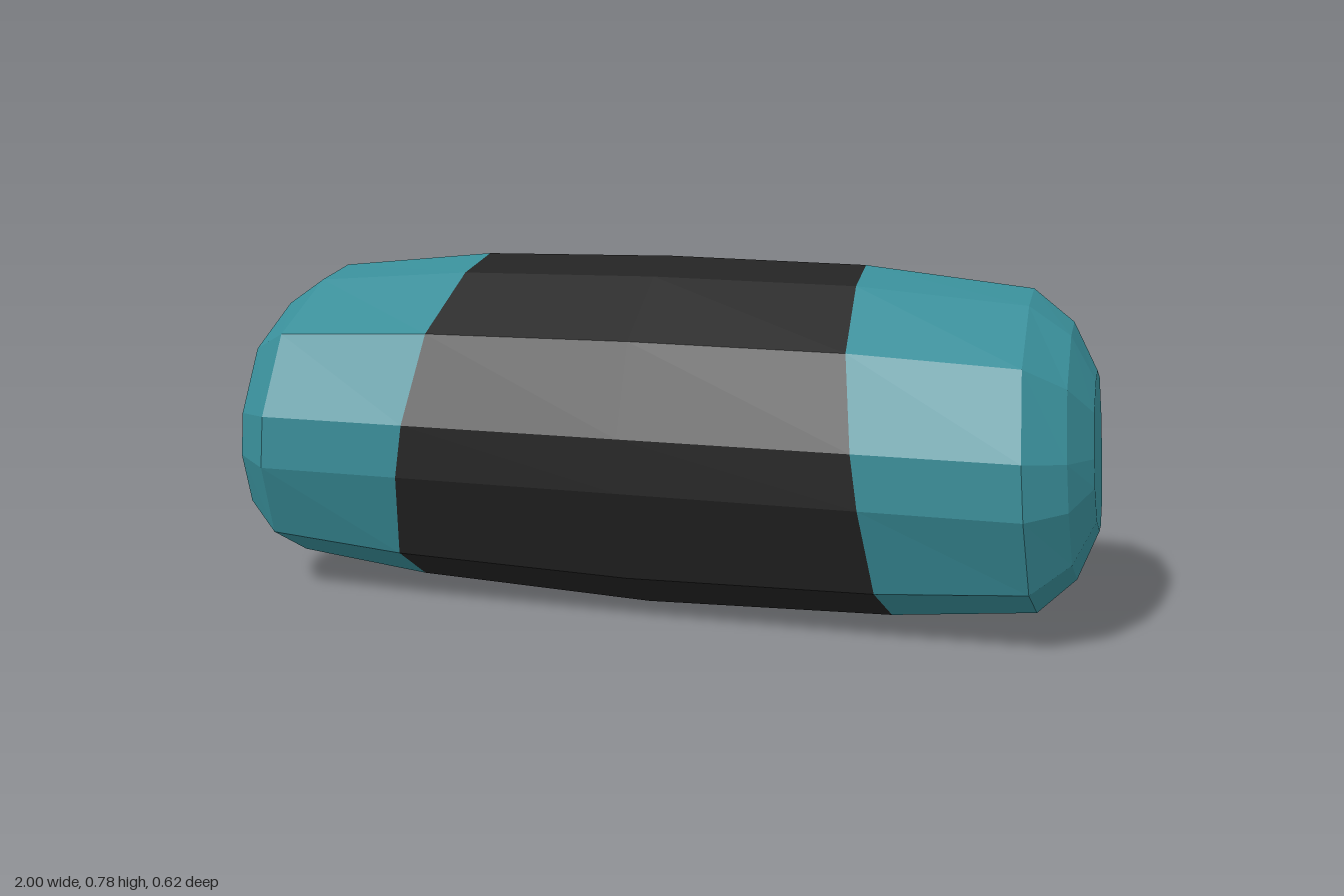
import * as THREE from 'three';

// Cross-sections as [z, y], running from the top over the back to the front
const MIDDLE = [[0.04, 0.75], [-0.103, 0.783], [-0.265, 0.71], [-0.312, 0.495], [-0.29, 0.335], [-0.207, 0.102],
  [-0.05, 0], [0.075, 0], [0.244, 0.102], [0.313, 0.31], [0.313, 0.43], [0.233, 0.63]];
const SHOULDER = [[0.038, 0.715], [-0.09, 0.738], [-0.228, 0.685], [-0.273, 0.505], [-0.25, 0.35], [-0.165, 0.14],
  [-0.015, 0.056], [0.085, 0.056], [0.244, 0.14], [0.313, 0.31], [0.313, 0.43], [0.233, 0.61]];
const ROUNDING = [[0.037, 0.655], [-0.068, 0.671], [-0.178, 0.63], [-0.213, 0.49], [-0.197, 0.367], [-0.127, 0.2],
  [-0.012, 0.134], [0.07, 0.134], [0.2, 0.2], [0.252, 0.323], [0.252, 0.423], [0.19, 0.566]];
const END = [[0.03, 0.56], [-0.035, 0.572], [-0.103, 0.546], [-0.125, 0.46], [-0.115, 0.387], [-0.07, 0.28],
  [0, 0.239], [0.05, 0.239], [0.128, 0.28], [0.161, 0.358], [0.155, 0.418], [0.12, 0.508]];

// The band's edge lies between the middle and the shoulder
const BAND_EDGE = MIDDLE.map(([z, y], i) => {
  const t = 0.36 - 0.26 * y;
  return [z + (SHOULDER[i][0] - z) * t, y + (SHOULDER[i][1] - y) * t];
});

// Places a section in a plane that leans inwards towards the top
const ring = (section, x, lean, side = 1) =>
  section.map(([z, y]) => new THREE.Vector3(side * (x - lean * y), y, z));

// Joins rings ordered from -x to +x; capSide closes the outer end
function loft(rings, capSide = 0) {
  const points = [];
  const n = rings[0].length;
  for (let r = 0; r < rings.length - 1; r++) {
    for (let i = 0; i < n; i++) {
      const j = (i + 1) % n;
      const [a, b] = [rings[r], rings[r + 1]];
      points.push(a[i], b[i], a[j], b[i], b[j], a[j]);
    }
  }
  if (capSide) {
    const end = capSide > 0 ? rings[rings.length - 1] : rings[0];
    const centre = new THREE.Vector3();
    end.forEach((p) => centre.addScaledVector(p, 1 / n));
    for (let i = 0; i < n; i++) {
      const j = (i + 1) % n;
      if (capSide > 0) points.push(centre, end[j], end[i]);
      else points.push(centre, end[i], end[j]);
    }
  }
  const geometry = new THREE.BufferGeometry().setFromPoints(points);
  geometry.computeVertexNormals(); // unshared corners give flat facets
  return geometry;
}

export function createModel() {
  const group = new THREE.Group();
  group.name = 'capsule';
  const black = new THREE.MeshStandardMaterial({ color: 0x232323 });
  black.name = 'black';
  const teal = new THREE.MeshStandardMaterial({ color: 0x398e99 });
  teal.name = 'teal';

  const add = (name, geometry, material) => {
    const mesh = new THREE.Mesh(geometry, material);
    mesh.name = name;
    group.add(mesh);
  };

  // Dark central band
  add('centreBand', loft([
    ring(BAND_EDGE, 0.568, 0.145, -1),
    ring(MIDDLE, 0, 0),
    ring(BAND_EDGE, 0.568, 0.145),
  ]), black);

  // Rounded coloured ends
  for (const side of [1, -1]) {
    const rings = [
      ring(BAND_EDGE, 0.568, 0.145, side),
      ring(SHOULDER, 0.884, 0.074, side),
      ring(ROUNDING, 0.97, 0.075, side),
      ring(END, 1.018, 0.075, side),
    ];
    if (side < 0) rings.reverse();
    add(side > 0 ? 'leftEnd' : 'rightEnd', loft(rings, side), teal);
  }
  return group;
}
